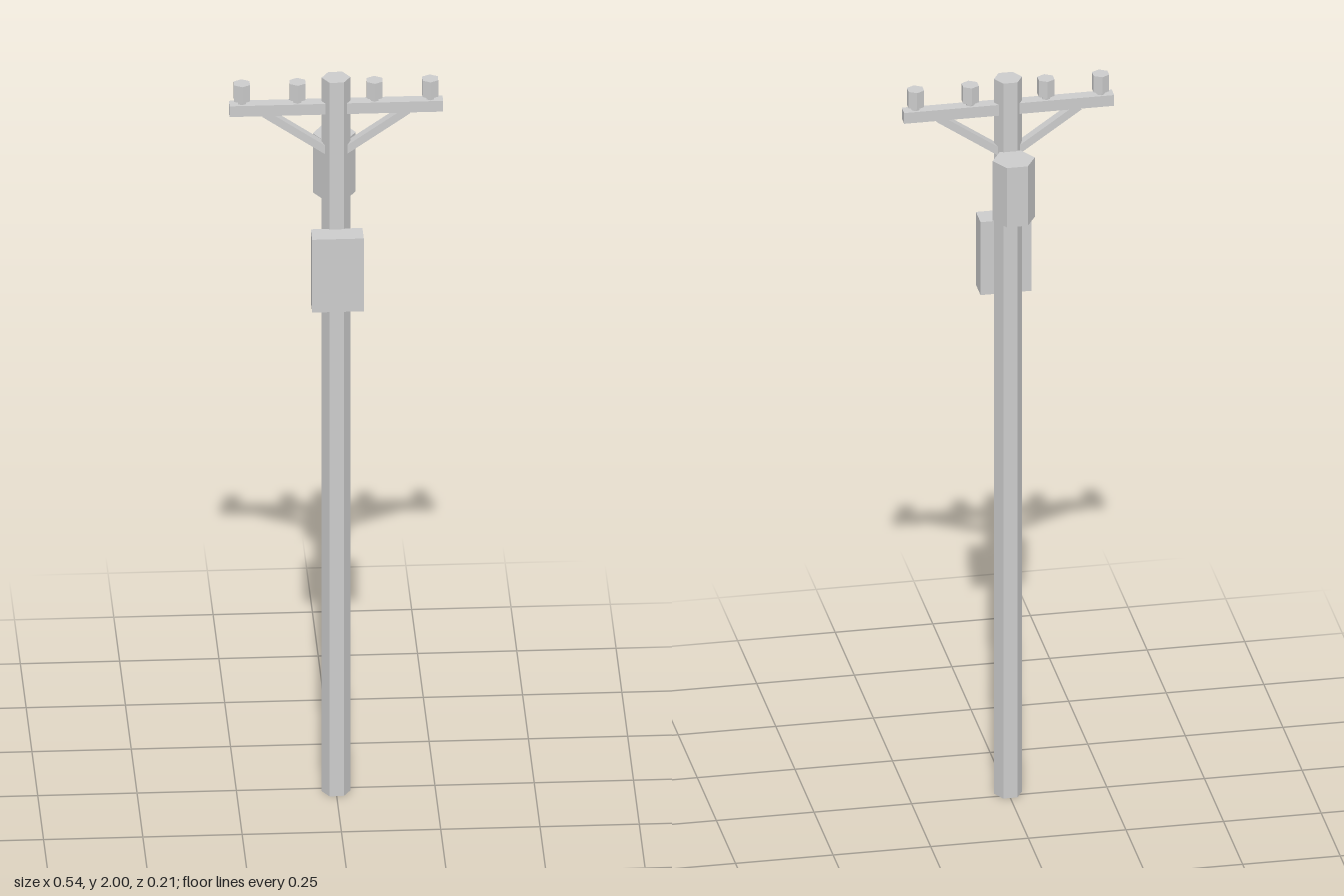
import * as THREE from 'three';

const AXIS_Z = 0.016; // depth of the pole, arm and insulators

export function createModel() {
  const group = new THREE.Group();
  const mat = new THREE.MeshStandardMaterial({ color: 0xcccccc, flatShading: true });
  const openMat = mat.clone();
  openMat.side = THREE.DoubleSide;

  const add = (name, geometry, x, y, z, material = mat) => {
    const mesh = new THREE.Mesh(geometry, material);
    mesh.name = name;
    mesh.position.set(x, y, z);
    group.add(mesh);
    return mesh;
  };

  // Six-sided pole, capped on top and open at the ground
  const profile = [[0.036, 0], [0.036, 2], [0, 2]].map(([r, y]) => new THREE.Vector2(r, y));
  add('pole', new THREE.LatheGeometry(profile, 6, Math.PI / 6), 0, 0, AXIS_Z, openMat);

  // Transformer drum behind the pole
  add('transformer', new THREE.CylinderGeometry(0.054, 0.054, 0.166, 6, 1, false, Math.PI / 6), 0, 1.725, -0.059);

  // Control box on the front
  add('controlBox', new THREE.BoxGeometry(0.13, 0.204, 0.06), 0, 1.487, 0.073);

  // Crossarm
  add('crossarm', new THREE.BoxGeometry(0.538, 0.03, 0.032), 0, 1.919, AXIS_Z);

  for (const side of [-1, 1]) {
    const label = side > 0 ? 'left' : 'right';

    // Diagonal brace from the pole up to the arm
    const dx = 0.16, dy = 0.11;
    const brace = add(label + 'Brace', new THREE.BoxGeometry(Math.hypot(dx, dy), 0.02, 0.026),
      side * 0.1, 1.853, AXIS_Z);
    brace.rotation.z = side * Math.atan2(dy, dx);

    // Insulators: a cap on a thin neck
    [0.097, 0.237].forEach((x, i) => {
      const part = label + (i ? 'Outer' : 'Inner') + 'Insulator';
      add(part + 'Neck', new THREE.CylinderGeometry(0.011, 0.011, 0.02, 6), side * x, 1.938, AXIS_Z);
      add(part + 'Cap', new THREE.CylinderGeometry(0.023, 0.023, 0.046, 6), side * x, 1.967, AXIS_Z);
    });
  }
  return group;
}
